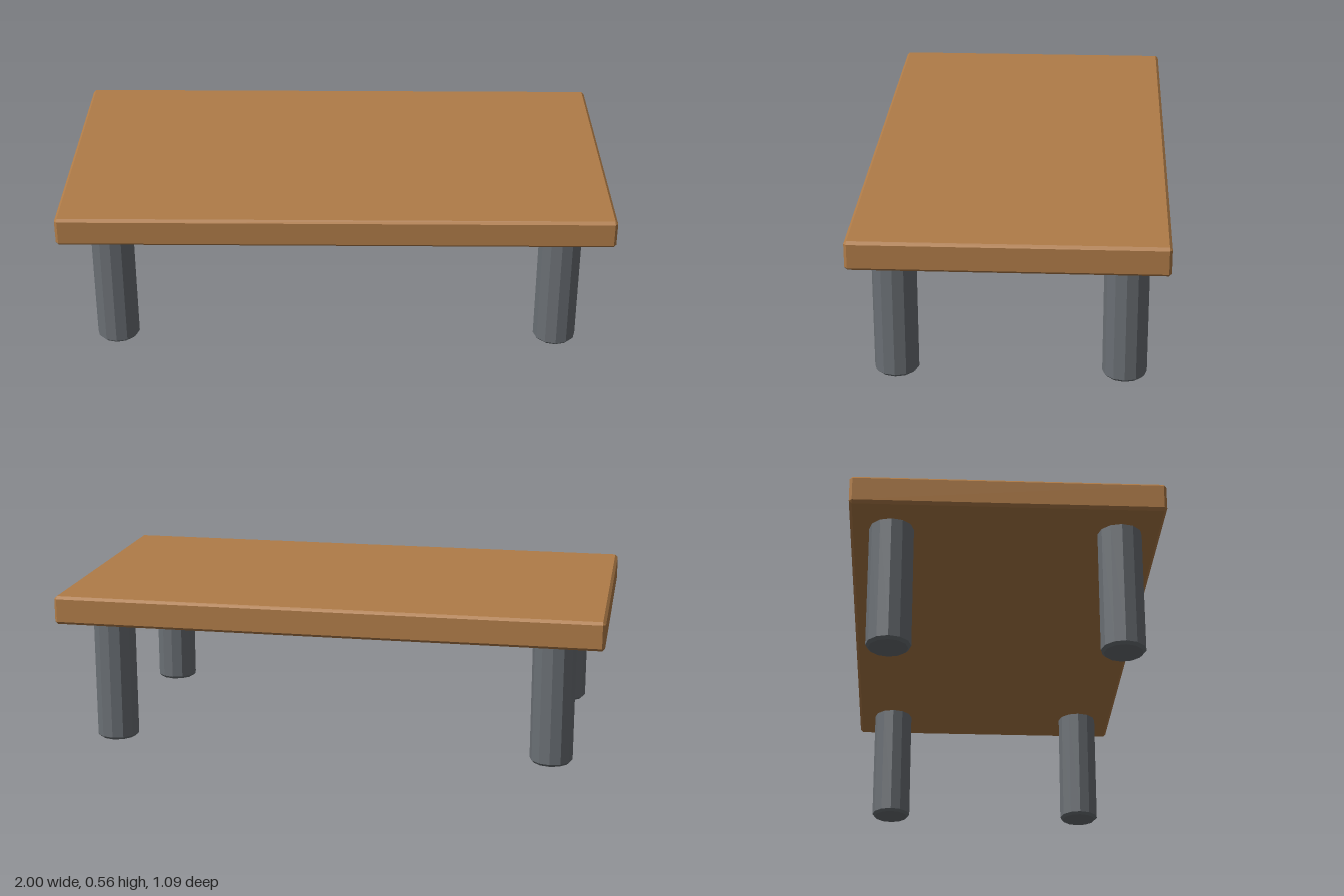
import * as THREE from 'three';
import { ConvexGeometry } from 'three/addons/geometries/ConvexGeometry.js';

// Box with every edge cut by a single flat chamfer
function chamferedBox(w, h, d, c) {
  const [x, y, z] = [w / 2, h / 2, d / 2];
  const points = [];
  for (const sx of [-1, 1]) for (const sy of [-1, 1]) for (const sz of [-1, 1]) {
    points.push(
      new THREE.Vector3(sx * x, sy * (y - c), sz * (z - c)),
      new THREE.Vector3(sx * (x - c), sy * y, sz * (z - c)),
      new THREE.Vector3(sx * (x - c), sy * (y - c), sz * z)
    );
  }
  return new ConvexGeometry(points);
}

export function createModel() {
  const group = new THREE.Group();
  group.name = 'lowTable';
  const wood = new THREE.MeshStandardMaterial({ color: 0xb07c48, flatShading: true });
  const metal = new THREE.MeshStandardMaterial({ color: 0x6a6f74, flatShading: true });

  // Wooden slab
  const bottom = 0.46, top = 0.565;
  const tableTop = new THREE.Mesh(chamferedBox(2, top - bottom, 1.09, 0.01), wood);
  tableTop.name = 'tableTop';
  tableTop.position.y = (bottom + top) / 2;
  group.add(tableTop);

  // Twelve-sided legs with chamfered ends
  const r = 0.078, c = 0.01;
  const profile = [[0, 0], [r - c, 0], [r, c], [r, bottom - c], [r, bottom], [0, bottom]]
    .map(([x, y]) => new THREE.Vector2(x, y));
  const legGeometry = new THREE.LatheGeometry(profile, 12);
  for (const sx of [-1, 1]) for (const sz of [-1, 1]) {
    const leg = new THREE.Mesh(legGeometry, metal);
    leg.name = (sz > 0 ? 'front' : 'back') + (sx > 0 ? 'Left' : 'Right') + 'Leg';
    leg.position.set(sx * 0.818, 0, sz * 0.4);
    group.add(leg);
  }
  return group;
}
